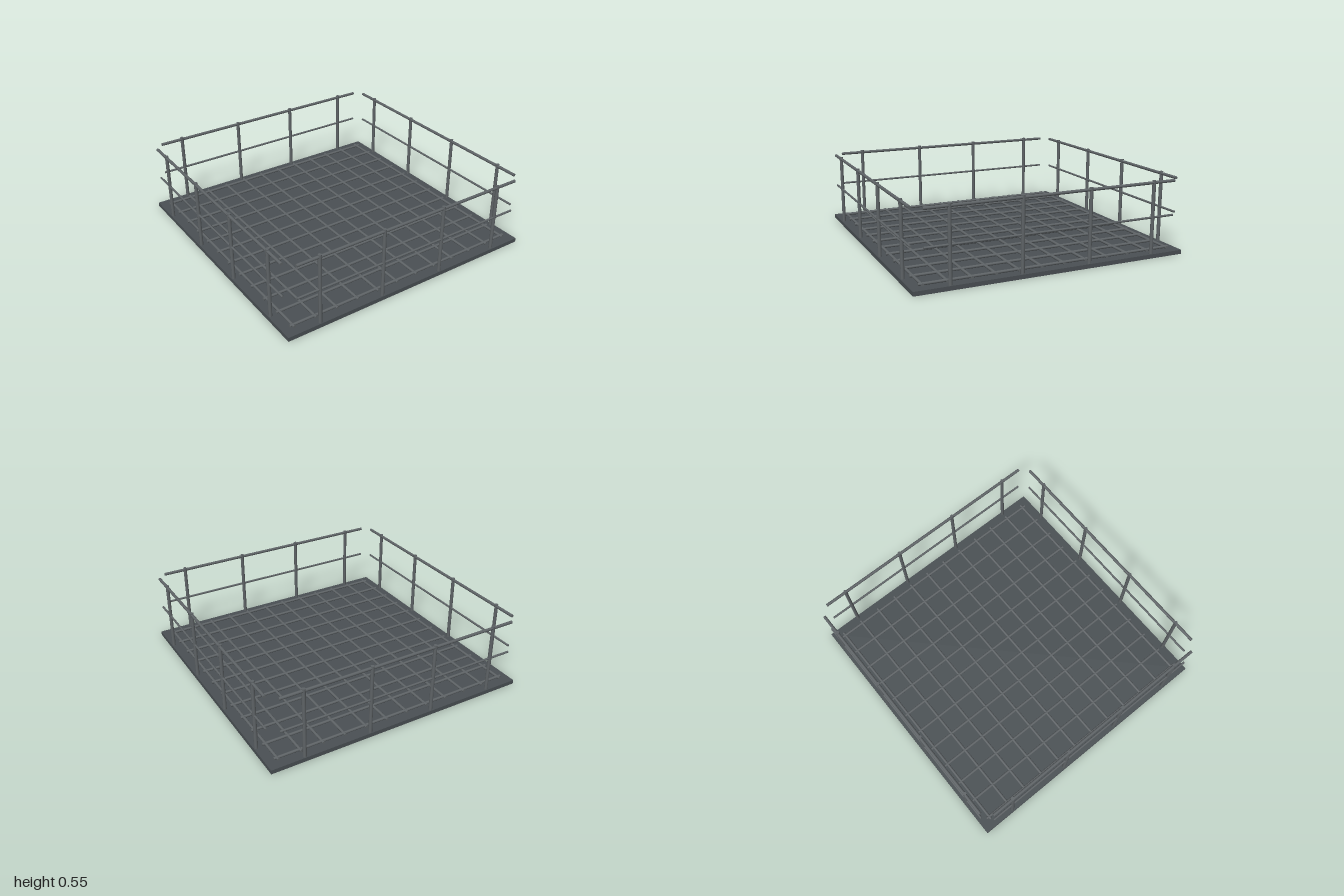
import * as THREE from 'three';

export function createModel() {
  const group = new THREE.Group();
  const deckMat = new THREE.MeshStandardMaterial({ color: 0x4a5054 });
  const steelMat = new THREE.MeshStandardMaterial({ color: 0x5e6366 });

  // Round bar centred at (x, y, z), running along the given axis
  function bar(parent, name, radius, length, axis, x, y, z) {
    const mesh = new THREE.Mesh(new THREE.CylinderGeometry(radius, radius, length, 12), steelMat);
    if (axis === 'x') mesh.rotation.z = Math.PI / 2;
    if (axis === 'z') mesh.rotation.x = Math.PI / 2;
    mesh.position.set(x, y, z);
    mesh.name = name;
    parent.add(mesh);
  }

  // Deck plate
  const deck = new THREE.Mesh(new THREE.BoxGeometry(2, 0.03, 2), deckMat);
  deck.position.y = 0.015;
  deck.name = 'deckPlate';
  group.add(deck);

  // Grating: twelve bars each way, evenly spaced
  const grating = new THREE.Group();
  grating.name = 'grating';
  for (let i = 0; i < 12; i++) {
    const p = (i - 5.5) / 6;
    bar(grating, 'gratingBarAcross', 0.01, 1.88, 'x', 0, 0.041, p);
    bar(grating, 'gratingBarAlong', 0.01, 1.88, 'z', p, 0.041, 0);
  }
  group.add(grating);

  // Guard rail on each of the four edges
  const names = ['frontRailing', 'leftRailing', 'backRailing', 'rightRailing'];
  names.forEach((name, side) => {
    const railing = new THREE.Group();
    railing.name = name;
    for (const x of [-0.75, -0.25, 0.25, 0.75]) {
      bar(railing, 'post', 0.013, 0.525, 'y', x, 0.2915, 0.983);
    }
    bar(railing, 'topRail', 0.011, 1.84, 'x', 0, 0.538, 0.983);
    bar(railing, 'midRail', 0.008, 1.84, 'x', 0, 0.292, 0.983);
    railing.rotation.y = side * Math.PI / 2;
    group.add(railing);
  });

  return group;
}
